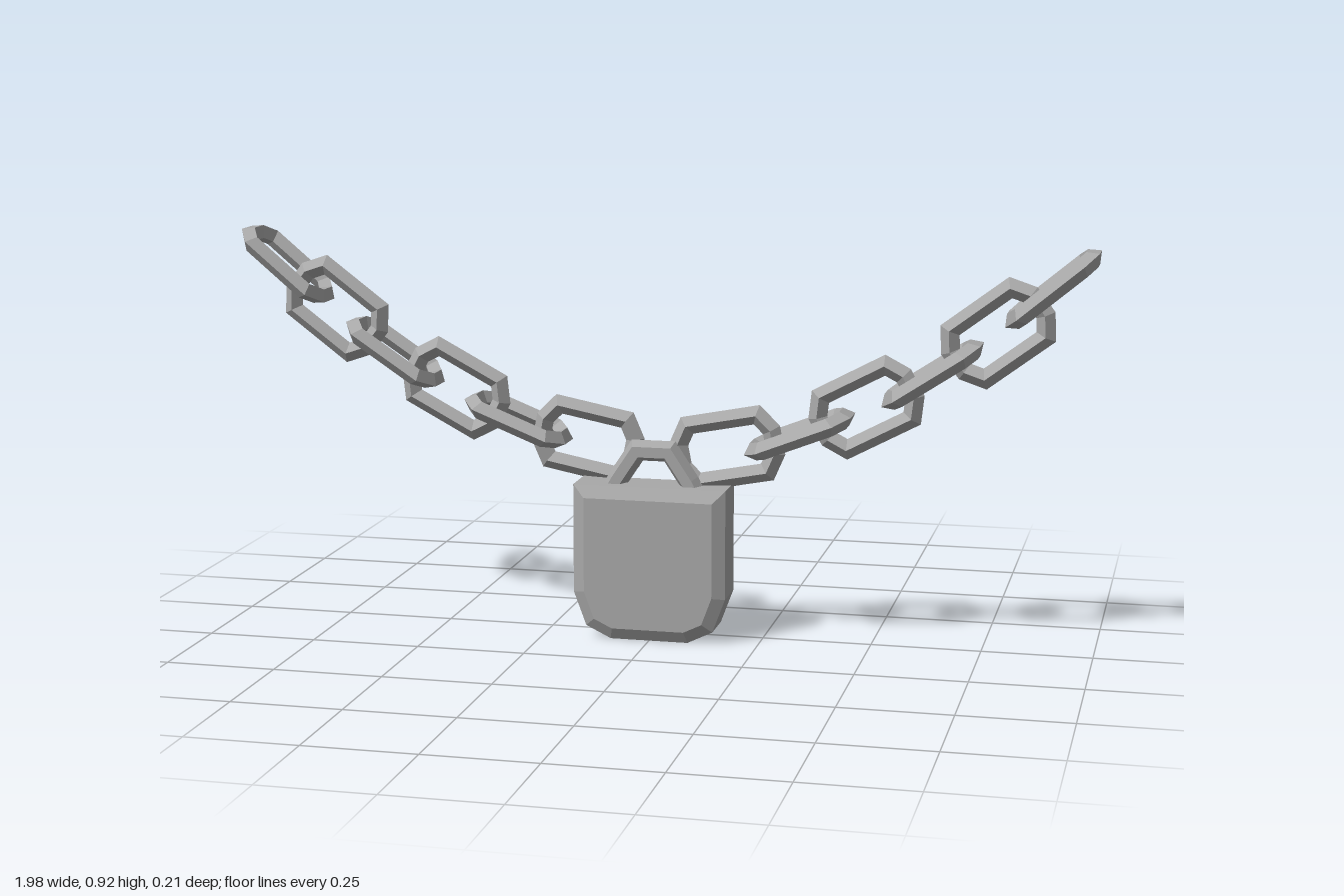
import * as THREE from 'three';

// Sweep a faceted section along a counter-clockwise path in the xy plane, with mitred corners
function sweep(path, section, closed) {
  const n = path.length, rings = [];
  const V = (a, b) => new THREE.Vector2().subVectors(b, a).normalize();
  for (let i = 0; i < n; i++) {
    const p = path[i];
    let d0 = closed || i > 0 ? V(path[(i + n - 1) % n], p) : null;
    let d1 = closed || i < n - 1 ? V(p, path[(i + 1) % n]) : null;
    d0 = d0 || d1;
    d1 = d1 || d0;
    const out = new THREE.Vector2(d0.y + d1.y, -d0.x - d1.x).normalize();
    out.divideScalar(out.x * d0.y - out.y * d0.x);
    rings.push(section.map(([r, z]) => [p.x + out.x * r, p.y + out.y * r, z]));
  }
  const pos = [], m = section.length;
  for (let i = 0; i < (closed ? n : n - 1); i++) {
    const A = rings[i], B = rings[(i + 1) % n];
    for (let j = 0; j < m; j++) {
      const k = (j + 1) % m;
      pos.push(...A[j], ...B[j], ...B[k], ...A[j], ...B[k], ...A[k]);
    }
  }
  const g = new THREE.BufferGeometry();
  g.setAttribute('position', new THREE.Float32BufferAttribute(pos, 3));
  g.computeVertexNormals();
  return g;
}

const points = (list) => list.map(([x, y]) => new THREE.Vector2(x, y));

export function createModel() {
  const model = new THREE.Group();
  const steel = new THREE.MeshStandardMaterial({ color: 0xa8a8a8, flatShading: true });
  steel.name = 'steel grey';

  // Chain link: long octagon with a diamond section
  const r = 0.021, L = 0.13 - r, S = 0.082, W = 0.0875 - r, F = 0.027;
  const linkGeo = sweep(
    points([[L, -F], [L, F], [S, W], [-S, W], [-L, F], [-L, -F], [-S, -W], [S, -W]]),
    [[r, 0], [0, r], [-r, 0], [0, -r]], true);

  // Links from the padlock outwards: x, y, slope in degrees, turned edge-on
  const links = [
    [0.167, 0.447, 11, false],
    [0.333, 0.488, 21.5, true],
    [0.483, 0.555, 28, false],
    [0.63, 0.635, 33.5, true],
    [0.772, 0.732, 37, false],
    [0.89, 0.834, 40, true],
  ];
  for (const side of [-1, 1]) {
    const chain = new THREE.Group();
    chain.name = side > 0 ? 'leftChain' : 'rightChain';
    links.forEach(([x, y, slope, edgeOn], i) => {
      const link = new THREE.Mesh(linkGeo, steel);
      link.name = 'link' + (i + 1);
      link.position.set(side * x, y, side * 0.016);
      link.rotation.order = 'ZYX';
      link.rotation.z = side * THREE.MathUtils.degToRad(slope);
      if (edgeOn) link.rotation.x = Math.PI / 2;
      chain.add(link);
    });
    model.add(chain);
  }

  // Padlock body: rounded at the bottom, bevelled front and back
  const half = [[0.09, 0.004], [0.148, 0.032], [0.177, 0.11], [0.177, 0.362]];
  const outline = [...half, ...half.map(([x, y]) => [-x, y]).reverse()];
  const bodyGeo = new THREE.ExtrudeGeometry(new THREE.Shape(points(outline)), {
    depth: 0.096, bevelEnabled: true, bevelSegments: 1,
    bevelThickness: 0.017, bevelSize: 0.028, bevelOffset: -0.028,
  });
  bodyGeo.translate(0, 0, -0.014);
  const body = new THREE.Mesh(bodyGeo, steel);
  body.name = 'padlockBody';
  model.add(body);

  // Shackle: angular arch with a six-sided section
  const shackleGeo = sweep(
    points([[0.105, 0.33], [0.083, 0.37], [0.038, 0.438], [-0.038, 0.438], [-0.083, 0.37], [-0.105, 0.33]]),
    [[0.024, 0], [0.012, 0.026], [-0.012, 0.026], [-0.024, 0], [-0.012, -0.026], [0.012, -0.026]], false);
  const shackle = new THREE.Mesh(shackleGeo, steel);
  shackle.name = 'shackle';
  shackle.position.z = 0.034;
  model.add(shackle);

  return model;
}
